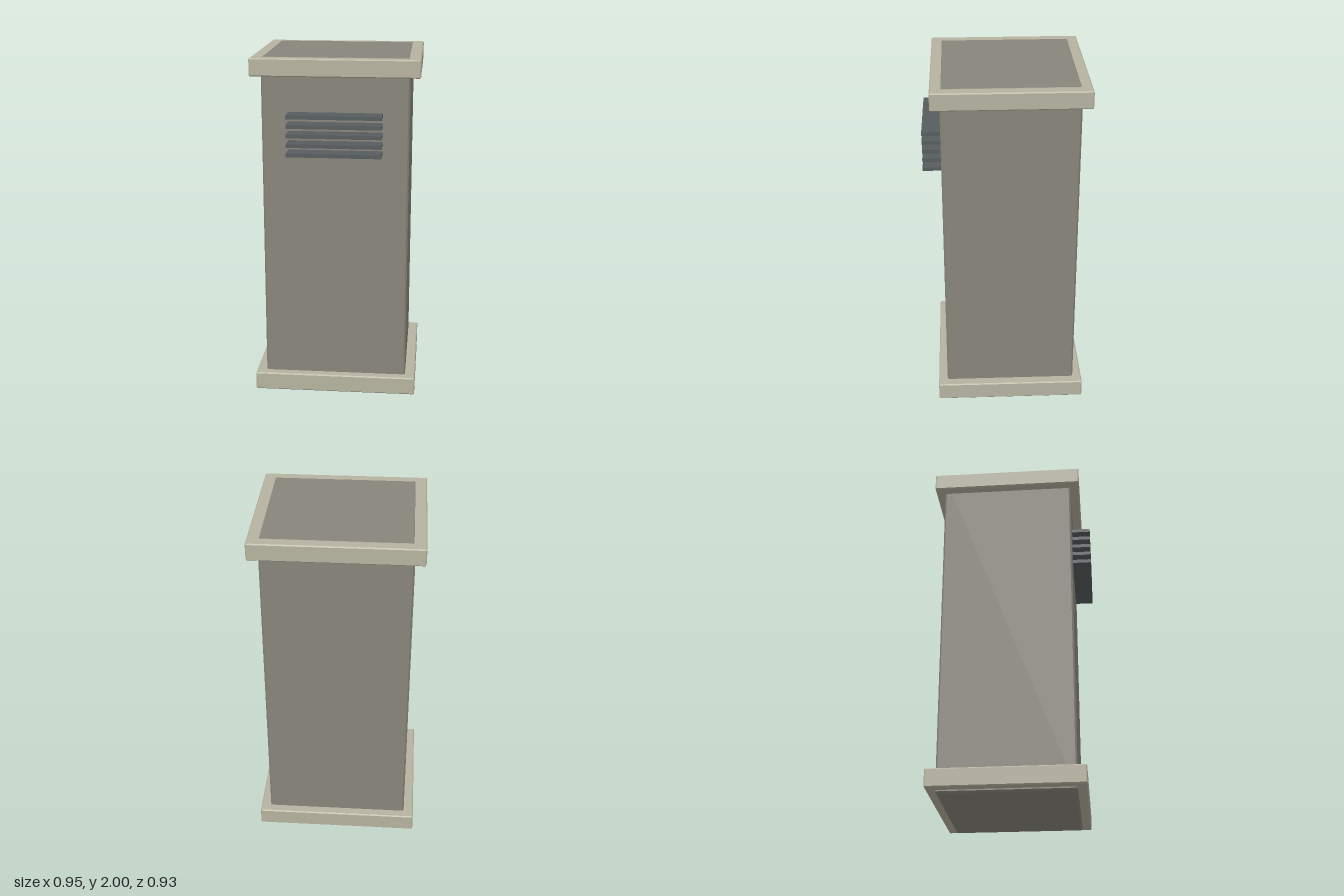
import * as THREE from 'three';
import { ConvexGeometry } from 'three/addons/geometries/ConvexGeometry.js';

const mat = (name, color) => {
  const m = new THREE.MeshStandardMaterial({ color });
  m.name = name;
  return m;
};

// Box with chamfered edges: each corner is replaced by three points
function chamferBox(w, h, d, b) {
  const pts = [];
  for (const sx of [-1, 1]) for (const sy of [-1, 1]) for (const sz of [-1, 1]) {
    for (let axis = 0; axis < 3; axis++) {
      const inset = [b, b, b];
      inset[axis] = 0;
      pts.push(new THREE.Vector3(
        sx * (w / 2 - inset[0]), sy * (h / 2 - inset[1]), sz * (d / 2 - inset[2])));
    }
  }
  return new ConvexGeometry(pts);
}

export function createModel() {
  const group = new THREE.Group();
  const stone = mat('warm grey', 0x88857b);
  const trim = mat('pale beige', 0xb6b3a0);
  const slate = mat('slate grey', 0x575d5f);

  const add = (name, geometry, material, y, z) => {
    const mesh = new THREE.Mesh(geometry, material);
    mesh.name = name;
    mesh.position.set(0, y, z);
    group.add(mesh);
  };

  const centreZ = -0.028;

  // Tall pillar, its top just showing inside the cap
  add('body', chamferBox(0.83, 2, 0.765, 0.01), stone, 1, centreZ);

  // Projecting base and cap
  add('base', chamferBox(0.946, 0.105, 0.87, 0.006), trim, 0.0695, centreZ);
  add('cap', chamferBox(0.946, 0.1, 0.87, 0.006), trim, 1.9485, centreZ);

  // Vent slats on the front
  const slat = new THREE.BoxGeometry(0.53, 0.021, 0.122);
  for (let i = 0; i < 5; i++) add('ventSlat', slat, slate, 1.471 + i * 0.0535, 0.401);

  return group;
}
